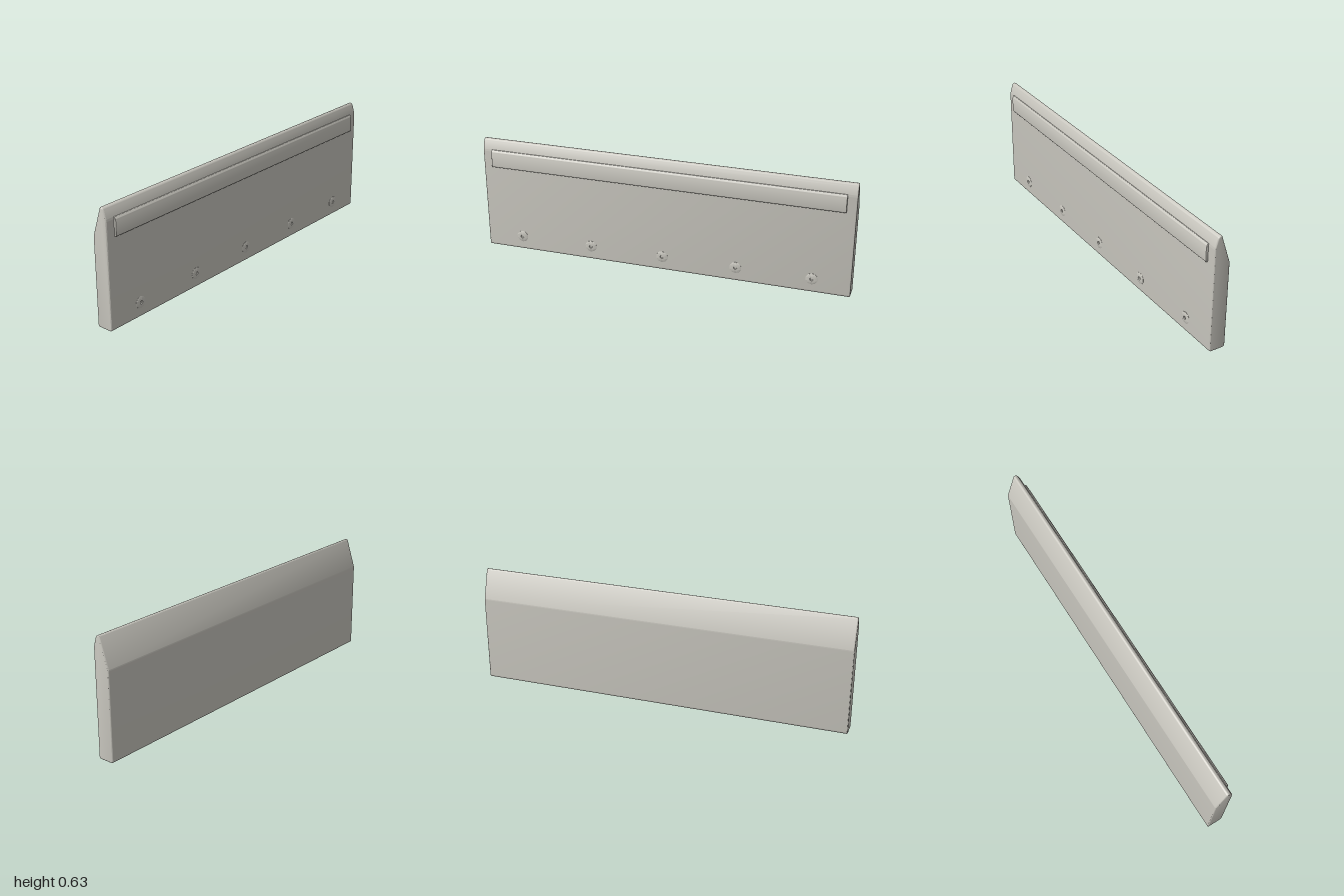
import * as THREE from 'three';
import { toCreasedNormals } from 'three/addons/utils/BufferGeometryUtils.js';

// Extrude an x-y profile along z, centred, with softly rounded ends
function extrudeBar(shape, length, bevel) {
  const geo = new THREE.ExtrudeGeometry(shape, {
    depth: length - 2 * bevel, curveSegments: 8, bevelEnabled: true,
    bevelSize: bevel, bevelOffset: -bevel, bevelThickness: bevel, bevelSegments: 3,
  });
  geo.translate(0, 0, -length / 2 + bevel);
  return toCreasedNormals(geo, 0.6);
}

export function createModel() {
  const model = new THREE.Group();
  const paleGrey = new THREE.MeshStandardMaterial({ color: 0xc8c6be });
  paleGrey.name = 'paleGrey';

  const add = (name, geometry) => {
    const mesh = new THREE.Mesh(geometry, paleGrey);
    mesh.name = name;
    model.add(mesh);
    return mesh;
  };

  // Board: rounded foot, chamfered back and rounded ridge
  const board = new THREE.Shape();
  board.moveTo(-0.038, 0);
  board.lineTo(0.026, 0);
  board.quadraticCurveTo(0.038, 0, 0.038, 0.012);
  board.lineTo(0.038, 0.558);
  board.quadraticCurveTo(0.038, 0.567, 0.035, 0.576);
  board.lineTo(0.025, 0.61);
  board.bezierCurveTo(0.02, 0.626, 0.004, 0.63, 0.0, 0.62);
  board.lineTo(-0.048, 0.475);
  board.quadraticCurveTo(-0.05, 0.47, -0.05, 0.464);
  board.lineTo(-0.05, 0.012);
  board.quadraticCurveTo(-0.05, 0, -0.038, 0);
  add('board', extrudeBar(board, 2, 0.006));

  // Raised strip near the ridge
  const strip = new THREE.Shape();
  strip.moveTo(0.03, 0.473);
  strip.lineTo(0.044, 0.473);
  strip.quadraticCurveTo(0.049, 0.475, 0.049, 0.482);
  strip.lineTo(0.049, 0.55);
  strip.quadraticCurveTo(0.048, 0.559, 0.044, 0.566);
  strip.quadraticCurveTo(0.042, 0.57, 0.038, 0.57);
  strip.lineTo(0.03, 0.57);
  add('strip', extrudeBar(strip, 1.9, 0.002));

  // Domed screw head with a scalloped rim and a centre socket
  const profile = [[0.032, -0.001], [0.032, 0.001], [0.029, 0.0025], [0.021, 0.004],
    [0.009, 0.005], [0.007, 0.001], [0, 0.001]].map(([r, y]) => new THREE.Vector2(r, y));
  const head = new THREE.LatheGeometry(profile, 40);
  const pos = head.attributes.position;
  for (let i = 0; i < pos.count; i++) {
    const x = pos.getX(i), z = pos.getZ(i);
    if (Math.hypot(x, z) < 0.028) continue;
    const k = 0.97 + 0.03 * Math.cos(10 * Math.atan2(z, x));
    pos.setX(i, x * k);
    pos.setZ(i, z * k);
  }
  head.rotateZ(-Math.PI / 2);
  const screwGeometry = toCreasedNormals(head, 0.5);
  for (let i = -2; i <= 2; i++) {
    add('screw', screwGeometry).position.set(0.038, 0.077, i * 0.4);
  }

  return model;
}
